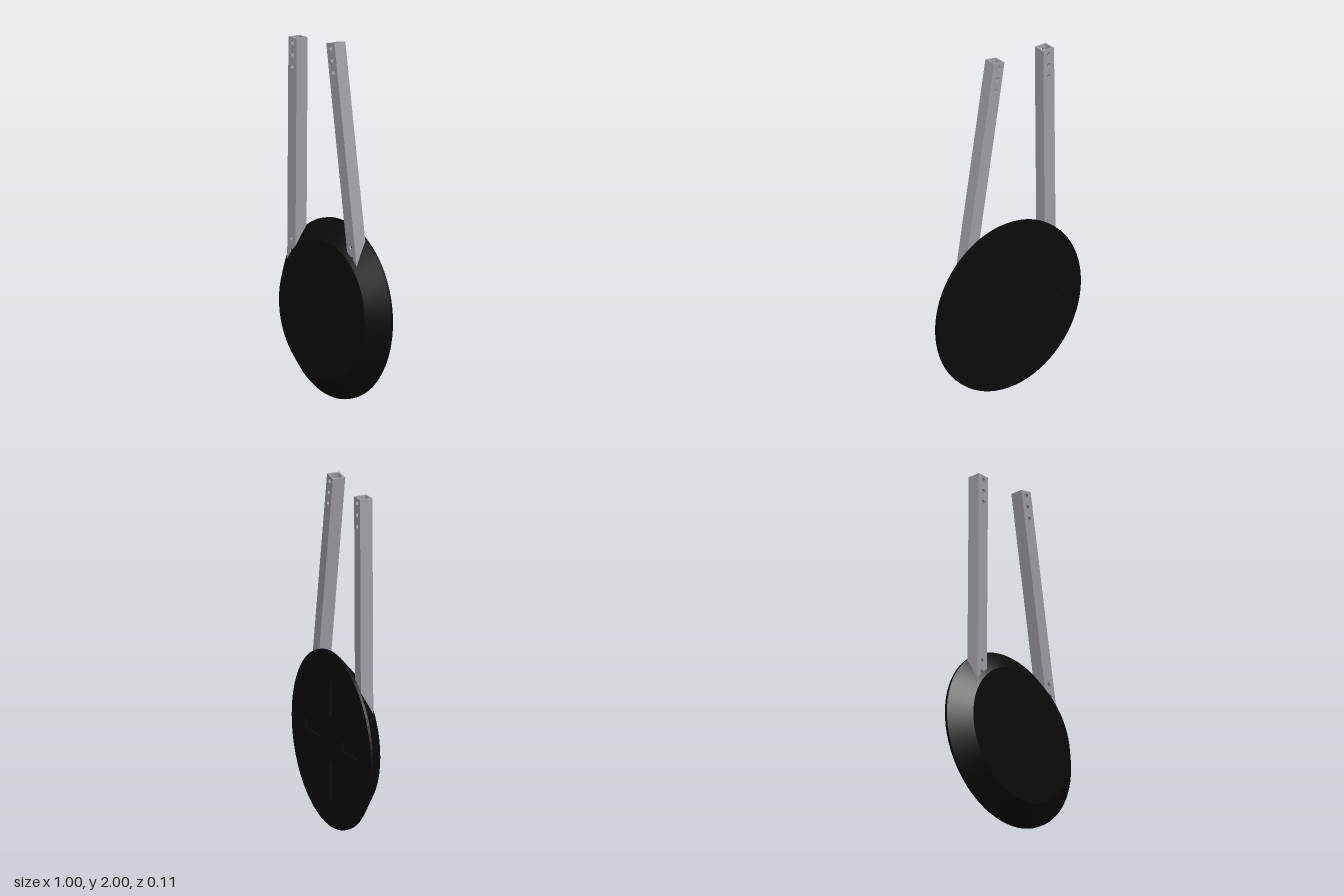
import * as THREE from 'three';

const RADIUS = 0.5, FACE_RADIUS = 0.39, HALF_DEPTH = 0.055, RIM = 0.015;
const LEG = 0.075, WALL = 0.01, LENGTH = 1.28;

// closed rectangular path with its lower corner at x, y
function rect(path, x, y, w, h) {
  path.moveTo(x, y);
  path.lineTo(x + w, y);
  path.lineTo(x + w, y + h);
  path.lineTo(x, y + h);
  path.closePath();
  return path;
}

function add(group, name, geometry, material) {
  const mesh = new THREE.Mesh(geometry, material);
  mesh.name = name;
  group.add(mesh);
  return mesh;
}

// bevelled disc with four radial slots in its back
function makeDisc(material) {
  const disc = new THREE.Group();
  disc.name = 'disc';
  const outline = new THREE.Shape().absarc(0, 0, RADIUS, 0, Math.PI * 2);
  const inner = 0.13, length = 0.21, width = 0.05;
  for (const s of [inner, -inner - length]) {
    outline.holes.push(rect(new THREE.Path(), s, -width / 2, length, width));
    outline.holes.push(rect(new THREE.Path(), -width / 2, s, width, length));
  }
  const plate = new THREE.ExtrudeGeometry(outline, { depth: RIM, bevelEnabled: false, curveSegments: 36 });
  add(disc, 'slottedBackPlate', plate, material).position.z = -HALF_DEPTH;

  const depth = 2 * HALF_DEPTH - RIM;
  const cone = new THREE.CylinderGeometry(FACE_RADIUS, RADIUS, depth, 72).rotateX(Math.PI / 2);
  add(disc, 'bevelledFront', cone, material).position.z = RIM / 2;
  disc.position.y = RADIUS;
  return disc;
}

// hollow square tube hanging from its top end, drilled front and back at both ends
function makeLeg(name, x, y, angle, material) {
  const leg = new THREE.Group();
  leg.name = name;
  const outline = rect(new THREE.Shape(), -LEG / 2, -LENGTH, LEG, LENGTH);
  for (let i = 0; i < 3; i++) {
    const offset = 0.027 + i * 0.067;
    for (const cy of [-offset, offset - LENGTH]) {
      outline.holes.push(new THREE.Path().absarc(0, cy, 0.0125, 0, Math.PI * 2, true));
    }
  }
  const drilled = new THREE.ExtrudeGeometry(outline, { depth: WALL, bevelEnabled: false, curveSegments: 10 });
  add(leg, 'frontWall', drilled, material).position.z = LEG / 2 - WALL;
  add(leg, 'backWall', drilled, material).position.z = -LEG / 2;

  const side = new THREE.BoxGeometry(WALL, LENGTH, LEG - 2 * WALL);
  for (const s of [-1, 1]) {
    add(leg, s > 0 ? 'leftWall' : 'rightWall', side, material)
      .position.set(s * (LEG - WALL) / 2, -LENGTH / 2, 0);
  }
  leg.position.set(x, y, 0);
  leg.rotation.z = angle;
  return leg;
}

export function createModel() {
  const black = new THREE.MeshStandardMaterial({ color: 0x0b0b0b });
  black.name = 'black';
  const grey = new THREE.MeshStandardMaterial({ color: 0xa0a0a8 });
  grey.name = 'metalGrey';

  const model = new THREE.Group();
  model.name = 'discOnTwoLegs';
  model.add(
    makeDisc(black),
    makeLeg('rightLeg', -0.29, 1.97, -0.009, grey),
    makeLeg('leftLeg', 0.053, 1.994, 0.166, grey)
  );
  return model;
}
